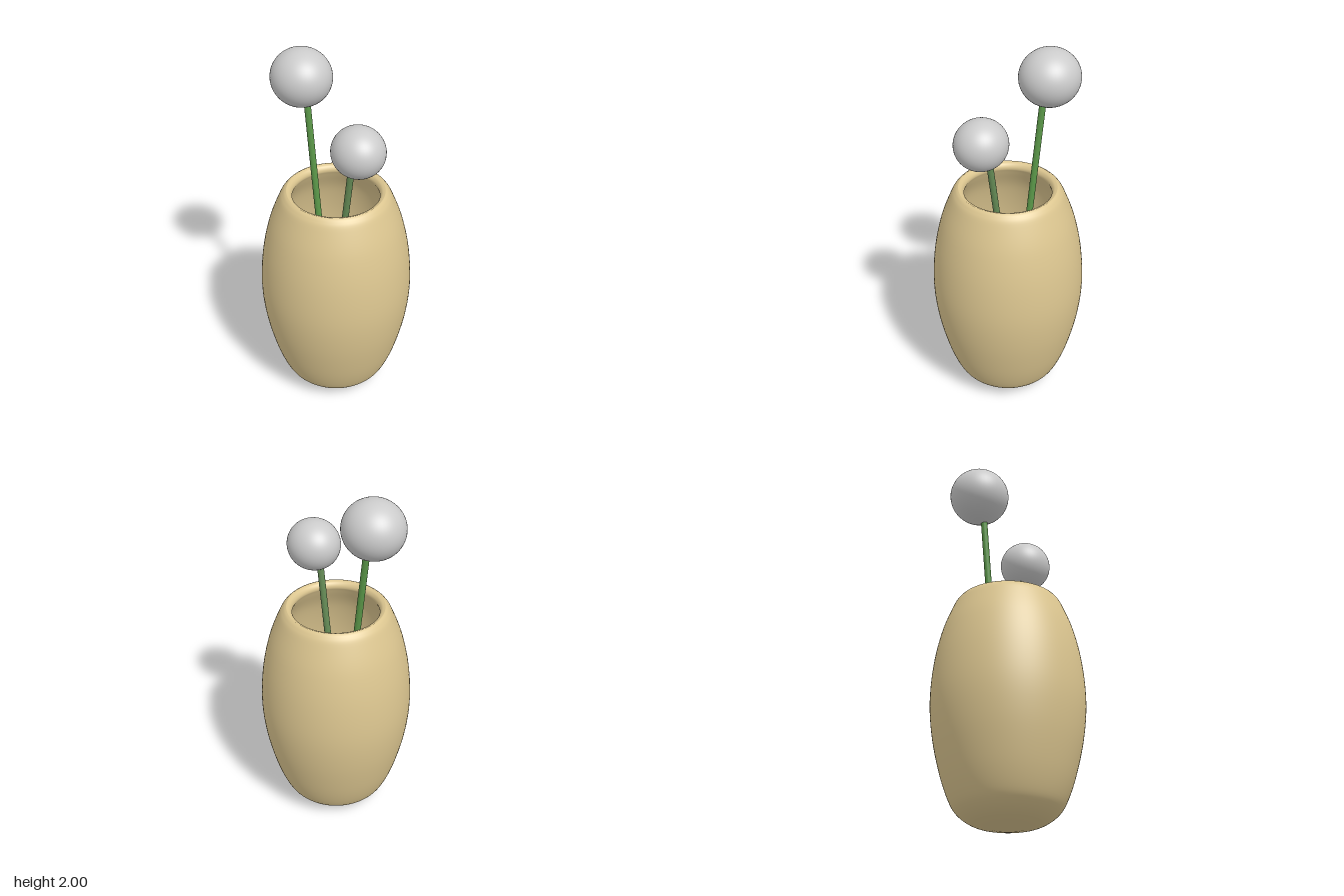
import * as THREE from 'three';

const CENTRE_X = 0.005;

function add(group, name, geometry, color, doubleSide = false) {
  const material = new THREE.MeshStandardMaterial({ color });
  if (doubleSide) material.side = THREE.DoubleSide;
  const mesh = new THREE.Mesh(geometry, material);
  mesh.name = name;
  group.add(mesh);
  return mesh;
}

// Smooth curve through [radius, height] pairs
function profile(pairs, divisions) {
  const points = pairs.map(([r, y]) => new THREE.Vector2(r, y));
  return new THREE.SplineCurve(points).getPoints(divisions);
}

// One flower: a leaning straight stem topped with a slightly flattened ball
function flower(name, bottom, top, centre, radii, stemColor) {
  const group = new THREE.Group();
  group.name = name;
  const path = new THREE.LineCurve3(new THREE.Vector3(...bottom), new THREE.Vector3(...top));
  add(group, 'stem', new THREE.TubeGeometry(path, 1, 0.018, 16), stemColor, true);
  const ball = add(group, 'blossom', new THREE.SphereGeometry(1, 48, 32), 0xcccccc);
  ball.position.set(...centre);
  ball.scale.set(...radii);
  return group;
}

export function createModel() {
  const model = new THREE.Group();
  model.name = 'vaseWithFlowers';

  // Hollow vase: outer wall upward, rounded lip, inner wall down to the floor
  const outer = profile([
    [0.1, 0], [0.19, 0.02], [0.26, 0.065], [0.305, 0.13], [0.355, 0.27], [0.4, 0.47],
    [0.418, 0.67], [0.404, 0.88], [0.365, 1.07], [0.31, 1.22], [0.284, 1.265], [0.265, 1.28],
  ], 60);
  const inner = profile([
    [0.265, 1.28], [0.245, 1.27], [0.235, 1.245], [0.25, 1.21], [0.31, 1.08], [0.355, 0.88],
    [0.37, 0.67], [0.352, 0.47], [0.31, 0.28], [0.255, 0.15], [0.18, 0.095],
  ], 60);
  const wall = [
    new THREE.Vector2(0, 0), ...outer, ...inner.slice(1), new THREE.Vector2(0, 0.075),
  ];
  const vase = add(model, 'vase', new THREE.LatheGeometry(wall, 96), 0xdcc690, true);
  vase.position.x = CENTRE_X;

  // Water lying in the bottom of the vase
  const water = add(model, 'water', new THREE.CircleGeometry(0.18, 64), 0x5aa0d0, true);
  water.rotation.x = -Math.PI / 2;
  water.position.set(CENTRE_X, 0.1, 0);

  // Two flowers leaning apart
  model.add(flower('tallFlower', [-0.025, 0.1, 0], [-0.228, 1.8, 0],
    [-0.26, 1.845, 0], [0.166, 0.156, 0.162], 0x5a9648));
  model.add(flower('shortFlower', [-0.06, 0.1, 0], [0.135, 1.56, 0],
    [0.172, 1.588, 0], [0.146, 0.138, 0.14], 0x648a55));

  return model;
}
